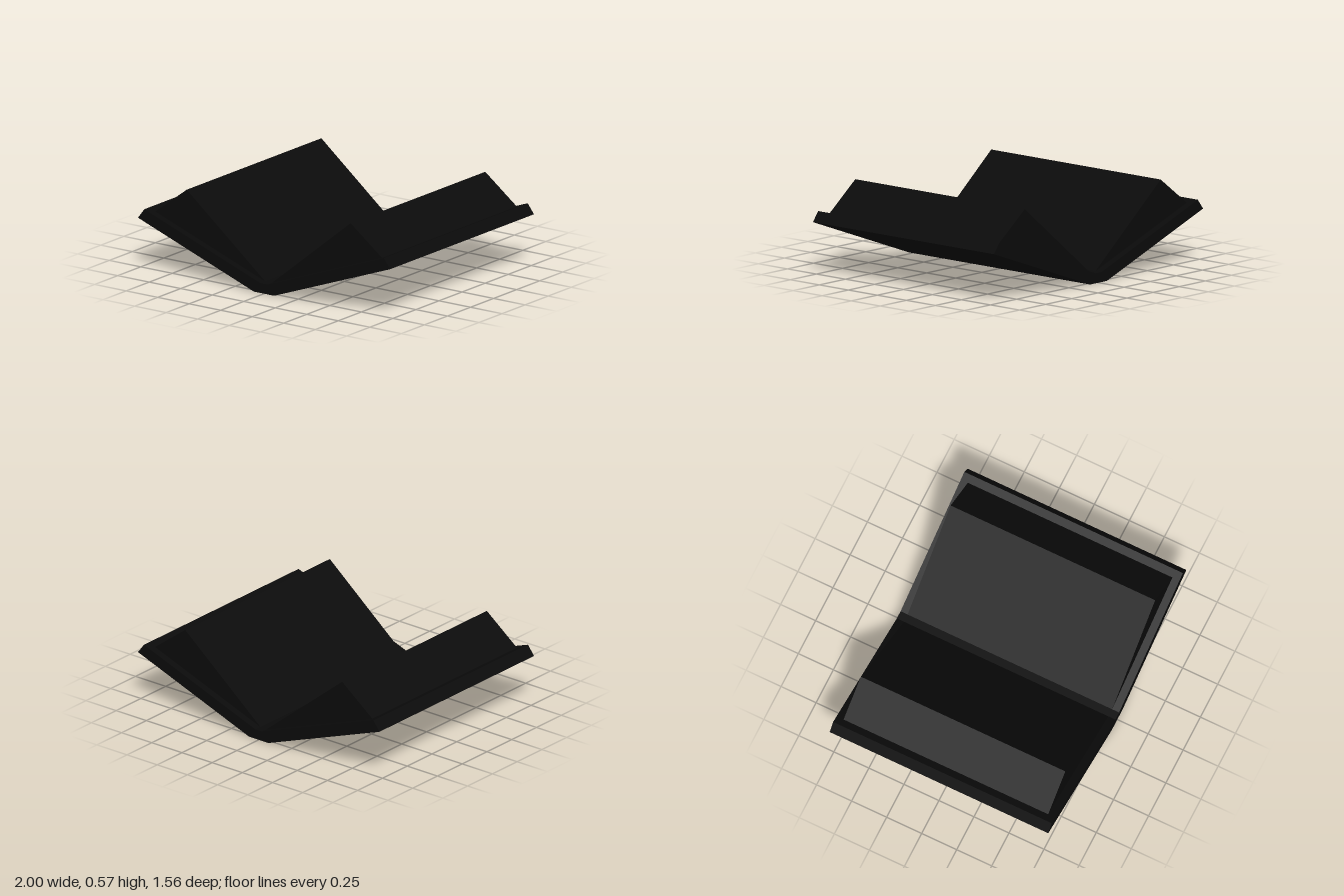
import * as THREE from 'three';

const black = new THREE.MeshStandardMaterial({ color: 0x0a0a0a });
black.name = 'black';

// Extrude a front-facing outline evenly about z = 0
function slab(name, points, depth) {
  const shape = new THREE.Shape(points.map(([x, y]) => new THREE.Vector2(x, y)));
  const geometry = new THREE.ExtrudeGeometry(shape, { depth, bevelEnabled: false });
  geometry.translate(0, 0, -depth / 2);
  const mesh = new THREE.Mesh(geometry, black);
  mesh.name = name;
  return mesh;
}

export function createModel() {
  const book = new THREE.Group();
  book.name = 'openBook';

  // Spine and both boards form one continuous folded cover
  const half = [[0.08, 0], [1, 0.335], [0.95, 0.4], [0.027, 0.065]];
  const mirrored = half.map(([x, y]) => [-x, y]).reverse();
  book.add(slab('cover', [...half, ...mirrored], 1.56));

  // A wedge of pages rests on each board
  for (const [side, label] of [[1, 'left'], [-1, 'right']]) {
    const wedge = [[0.027, 0.065], [0.9, 0.381], [0.65, 0.57]];
    book.add(slab(label + 'Pages', wedge.map(([x, y]) => [side * x, y]), 1.46));
  }
  return book;
}
